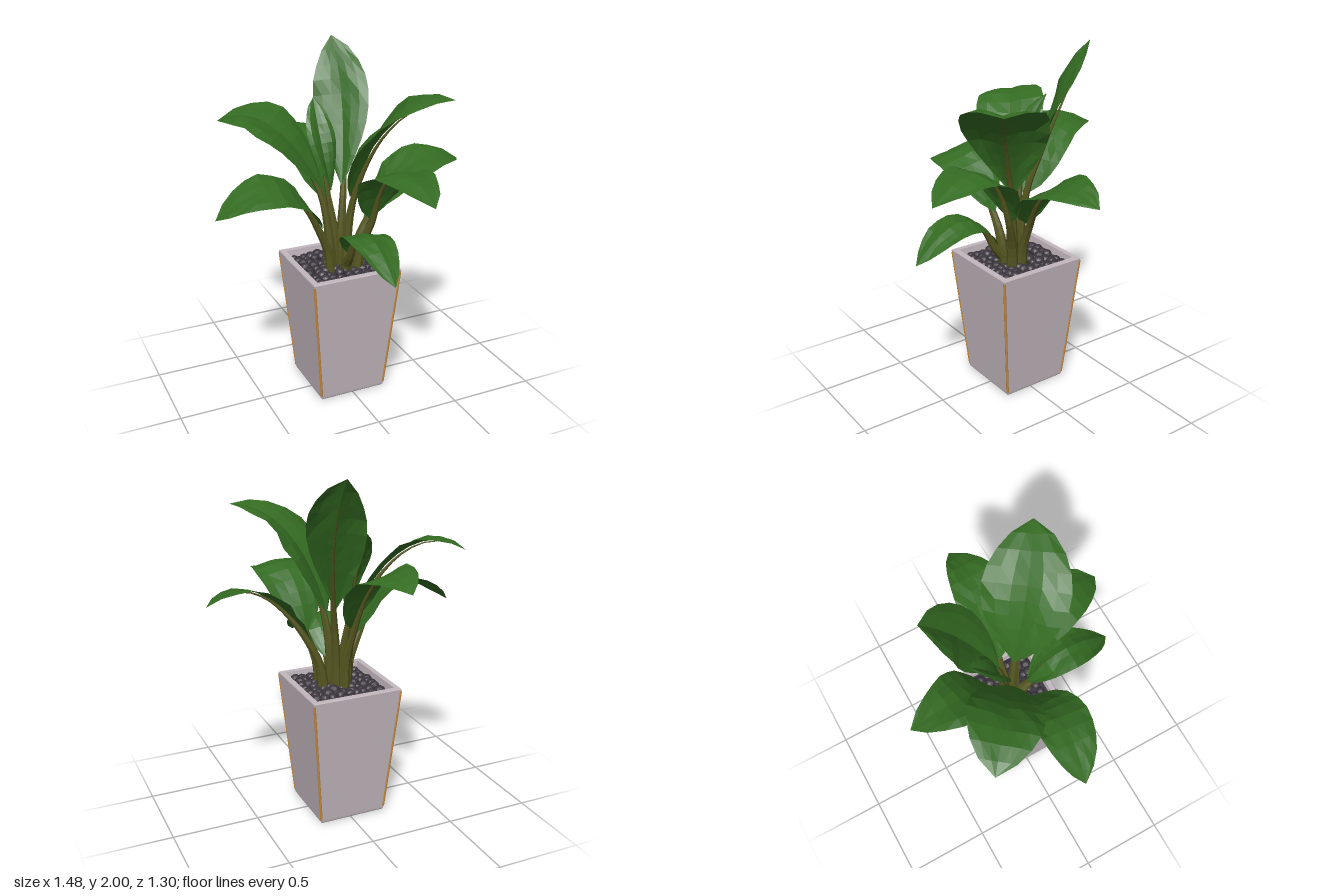
import * as THREE from 'three';

const mat = (name, color, extra = {}) => {
  const m = new THREE.MeshStandardMaterial({ color, flatShading: true, ...extra });
  m.name = name;
  return m;
};

const seeded = (seed) => () => {
  seed = (seed * 16807) % 2147483647;
  return seed / 2147483647;
};

const V = (p) => new THREE.Vector3(...p);
const UP = new THREE.Vector3(0, 1, 0);

// Each leaf: base, middle and tip of the midrib, half-width, V fold, roll, bluntness of the tip
const LEAVES = [
  ['leftLowLeaf', [0.14, 1.03, 0], [0.43, 1.34, 0.05], [0.74, 1.31, 0.01], 0.17, 0.05, 0.2, 1],
  ['rightLowLeaf', [-0.13, 1.02, 0.03], [-0.4, 1.3, 0.07], [-0.74, 1.17, 0.03], 0.165, 0.05, -0.25, 1],
  ['backRightLeaf', [-0.09, 1.22, -0.05], [-0.33, 1.58, -0.22], [-0.57, 1.58, -0.41], 0.2, 0.12, -0.15, 1.25],
  ['backLeaf', [-0.04, 1.12, -0.11], [-0.1, 1.46, -0.33], [-0.12, 1.45, -0.65], 0.18, 0.05, 0.2, 0.9],
  ['tallLeaf', [0.03, 1.22, -0.06], [0.11, 1.66, -0.23], [0.13, 2.0, -0.42], 0.16, 0.25, -0.35, 1.25],
  ['frontLeftHighLeaf', [0.04, 1.18, 0.03], [0.2, 1.62, 0.2], [0.47, 1.77, 0.39], 0.235, 0.25, 0, 1.2],
  ['frontLeftLeaf', [0.13, 1.06, 0.1], [0.17, 1.4, 0.32], [0.22, 1.3, 0.65], 0.19, -0.08, -0.05, 1],
  ['frontLowLeaf', [0, 0.87, 0.1], [0, 1.08, 0.33], [0.01, 0.9, 0.64], 0.13, -0.15, -0.12, 1],
  ['youngLeaf', [-0.03, 1.2, -0.07], [-0.06, 1.47, -0.14], [-0.05, 1.69, -0.27], 0.085, 0.4, 0, 1.1],
];

// Arched midrib passing through its three points
function midrib(base, middle, tip) {
  const control = V(middle).multiplyScalar(2).addScaledVector(V(base).add(V(tip)), -0.5);
  return new THREE.QuadraticBezierCurve3(V(base), control, V(tip));
}

// Folded blade lofted along its midrib
function bladeGeometry(rib, width, fold, roll, blunt, rand) {
  const rows = 11, across = 6, pos = [], index = [];
  for (let i = 0; i < rows; i++) {
    const u = i / (rows - 1);
    const p = rib.getPointAt(u), t = rib.getTangentAt(u);
    const side = t.clone().cross(UP).normalize().applyAxisAngle(t, roll);
    const normal = side.clone().cross(t);
    const hw = width * Math.pow(Math.max(0, Math.sin(Math.PI * Math.pow(u, blunt))), 0.75);
    for (let j = 0; j <= across; j++) {
      const v = (j / across) * 2 - 1, a = Math.abs(v);
      const ripple = (rand() - 0.5) * 0.12 * a;
      const lift = hw * (fold * (1.5 * a - 0.9 * a * a * a) + ripple);
      const q = p.clone().addScaledVector(side, hw * v).addScaledVector(normal, lift);
      pos.push(q.x, q.y, q.z);
      if (i < rows - 1 && j < across) {
        const k = i * (across + 1) + j, n = k + across + 1;
        index.push(k, k + 1, n, k + 1, n + 1, n);
      }
    }
  }
  const g = new THREE.BufferGeometry();
  g.setAttribute('position', new THREE.Float32BufferAttribute(pos, 3));
  g.setIndex(index);
  g.computeVertexNormals();
  return g;
}

// Stalk: a tube tapering from the soil and running beneath the midrib
function stalkGeometry(rib, roll) {
  const base = rib.getPoint(0);
  const root = new THREE.Vector3(base.x * 0.55, 0.73, base.z * 0.55);
  const bend = new THREE.Vector3(base.x * 0.7, (0.73 + base.y) / 2, base.z * 0.7);
  const under = [0, 0.2, 0.4, 0.6, 0.75].map((s) => {
    const t = rib.getTangent(s);
    const normal = t.clone().cross(UP).normalize().applyAxisAngle(t, roll).cross(t);
    return rib.getPoint(s).addScaledVector(normal, -0.005 - 0.017 * (1 - s) ** 2);
  });
  const curve = new THREE.CatmullRomCurve3([root, bend, ...under]);
  const segs = 16, sides = 7, g = new THREE.TubeGeometry(curve, segs, 0.036, sides);
  const pos = g.attributes.position, q = new THREE.Vector3();
  for (let i = 0; i <= segs; i++) {
    const u = i / segs, c = curve.getPointAt(u), k = 0.08 + 0.92 * Math.pow(1 - u, 1.4);
    for (let j = 0; j <= sides; j++) {
      const id = i * (sides + 1) + j;
      q.fromBufferAttribute(pos, id).sub(c).multiplyScalar(k).add(c);
      pos.setXYZ(id, q.x, q.y, q.z);
    }
  }
  g.computeVertexNormals();
  return g;
}

export function createModel() {
  const model = new THREE.Group();
  model.name = 'pottedPlant';
  const rand = seeded(77);
  const ceramic = mat('paleStone', 0xc2b7be);
  const seamMat = mat('copperSeam', 0xc4893f);
  const pebbleMat = mat('darkPebble', 0x3b343d);
  const stalkMat = mat('oliveStalk', 0x555620);
  const leafMat = mat('leafGreen', 0x346b22, { side: THREE.DoubleSide });

  const add = (parent, name, geometry, material) => {
    const m = new THREE.Mesh(geometry, material);
    m.name = name;
    parent.add(m);
    return m;
  };

  // Square tapered planter, with rim and inner walls
  const planter = new THREE.Group();
  planter.name = 'planter';
  planter.position.set(-0.007, 0, -0.023);
  model.add(planter);
  const profile = [[0, 0], [0.18, 0], [0.191, 0.004], [0.198, 0.012], [0.2, 0.024], [0.266, 0.785], [0.263, 0.79], [0.233, 0.79], [0.226, 0.73]]
    .map(([r, y]) => new THREE.Vector2(r * Math.SQRT2, y));
  add(planter, 'pot', new THREE.LatheGeometry(profile, 4, Math.PI / 4), ceramic);

  // Copper seams down the four corners
  for (const sx of [-1, 1]) for (const sz of [-1, 1]) {
    const line = new THREE.LineCurve3(V([sx * 0.198, 0.03, sz * 0.198]), V([sx * 0.262, 0.775, sz * 0.262]));
    add(planter, 'cornerSeam', new THREE.TubeGeometry(line, 1, 0.0075, 8), seamMat);
  }

  // Pebble bed
  const bed = add(planter, 'bed', new THREE.PlaneGeometry(0.455, 0.455), pebbleMat);
  bed.rotation.x = -Math.PI / 2;
  bed.position.y = 0.745;
  const n = 9, step = 0.43 / n;
  for (let i = 0; i < n; i++) for (let j = 0; j < n; j++) {
    const stone = add(planter, 'pebble', new THREE.IcosahedronGeometry(0.024 + rand() * 0.01, 1), pebbleMat);
    stone.position.set(
      (i + 0.5) * step - 0.215 + (rand() - 0.5) * 0.02,
      0.748 + rand() * 0.015,
      (j + 0.5) * step - 0.215 + (rand() - 0.5) * 0.02);
    stone.scale.y = 0.8;
    stone.rotation.y = rand() * 6;
  }

  // Leaves on their stalks
  for (const [name, base, middle, tip, width, fold, roll, blunt] of LEAVES) {
    const leaf = new THREE.Group();
    leaf.name = name;
    const rib = midrib(base, middle, tip);
    add(leaf, 'stalk', stalkGeometry(rib, roll), stalkMat);
    add(leaf, 'blade', bladeGeometry(rib, width, fold, roll, blunt, rand), leafMat);
    model.add(leaf);
  }
  return model;
}
